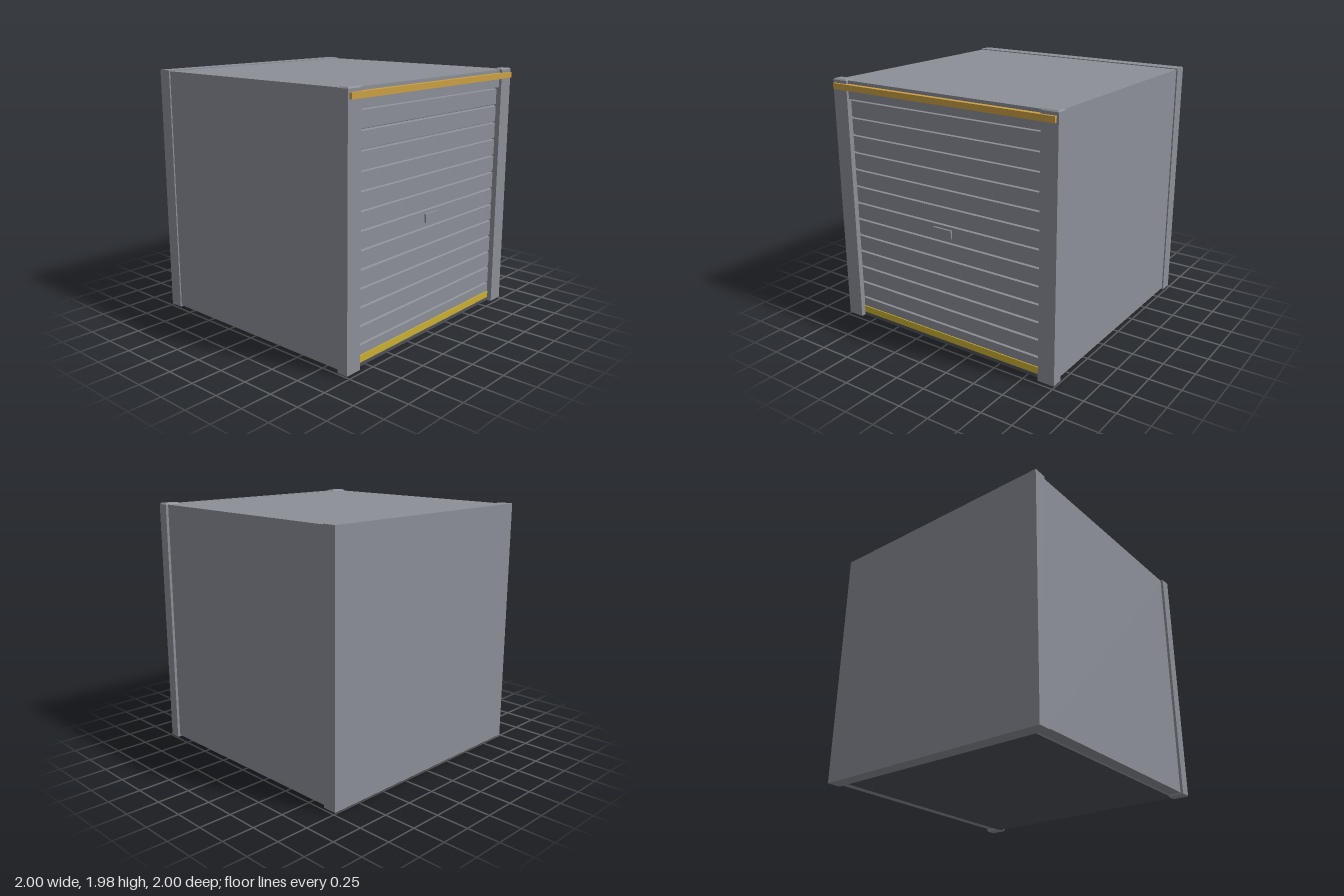
import * as THREE from 'three';

const mat = (name, color) => {
  const m = new THREE.MeshStandardMaterial({ color });
  m.name = name;
  return m;
};

export function createModel() {
  const group = new THREE.Group();
  const grey = mat('wall grey', 0x8c8f97);
  const dark = mat('floor dark grey', 0x50525a);
  const yellow = mat('warning yellow', 0xcbb032);
  const orange = mat('trim orange', 0xcba043);

  const add = (name, geometry, material) => {
    const mesh = new THREE.Mesh(geometry, material);
    mesh.name = name;
    group.add(mesh);
    return mesh;
  };
  // Box given by its limits on each axis
  const box = (name, material, x0, x1, y0, y1, z0, z1) => {
    const g = new THREE.BoxGeometry(x1 - x0, y1 - y0, z1 - z0);
    g.translate((x0 + x1) / 2, (y0 + y1) / 2, (z0 + z1) / 2);
    return add(name, g, material);
  };

  // Shell: rear wall stands slightly proud of the sides and roof
  box('shell', grey, -0.976, 0.976, 0.02, 1.968, -0.9, 0.9);
  box('rearWall', grey, -0.987, 0.987, 0.008, 1.975, -1, -0.89);
  box('floor', dark, -0.88, 0.88, 0.006, 0.03, -0.89, 0.93);

  // Chamfered corner pillars
  const c = 0.01, w = 0.135, d = 0.086, h = 1.978;
  const footprint = new THREE.Shape();
  footprint.moveTo(-w / 2 + c, -d / 2 + c);
  footprint.lineTo(w / 2 - c, -d / 2 + c);
  footprint.lineTo(w / 2 - c, d / 2 - c);
  footprint.lineTo(-w / 2 + c, d / 2 - c);
  const pillar = new THREE.ExtrudeGeometry(footprint, {
    depth: h - 2 * c, bevelEnabled: true, bevelSize: c, bevelThickness: c, bevelSegments: 1,
  });
  pillar.rotateX(-Math.PI / 2);
  for (const [name, side] of [['leftPillar', 1], ['rightPillar', -1]]) {
    add(name, pillar, grey).position.set(side * 0.93, c, 0.933);
  }

  // Lintel and its trim strip
  box('lintel', grey, -0.87, 0.87, 1.83, 1.97, 0.89, 0.956);
  box('lintelTrim', orange, -0.982, 0.982, 1.9, 1.945, 0.95, 0.995);

  // Rolling door: one profile with a groove between slats, run across the opening
  const front = 0.935, inner = 0.917, back = 0.89;
  const profile = new THREE.Shape();
  profile.moveTo(-back, 0.035);
  profile.lineTo(-front, 0.035);
  for (let i = 0; i < 13; i++) {
    const y = 0.163 + i * 0.1375;
    profile.lineTo(-front, y);
    profile.lineTo(-inner, y + 0.005);
    profile.lineTo(-inner, y + 0.011);
    profile.lineTo(-front, y + 0.017);
  }
  profile.lineTo(-front, 1.84);
  profile.lineTo(-back, 1.84);
  const door = new THREE.ExtrudeGeometry(profile, { depth: 1.73, bevelEnabled: false });
  door.translate(0, 0, -0.865);
  door.rotateY(Math.PI / 2);
  add('rollingDoor', door, grey);

  // Door details
  box('doorBottomStripe', yellow, -0.857, 0.857, 0.038, 0.092, 0.934, 0.943);
  box('handlePlate', grey, -0.085, 0.085, 0.9, 0.965, 0.93, 0.95);
  box('threshold', dark, -0.865, 0.865, 0.008, 0.035, 0.89, 0.94);
  return group;
}
